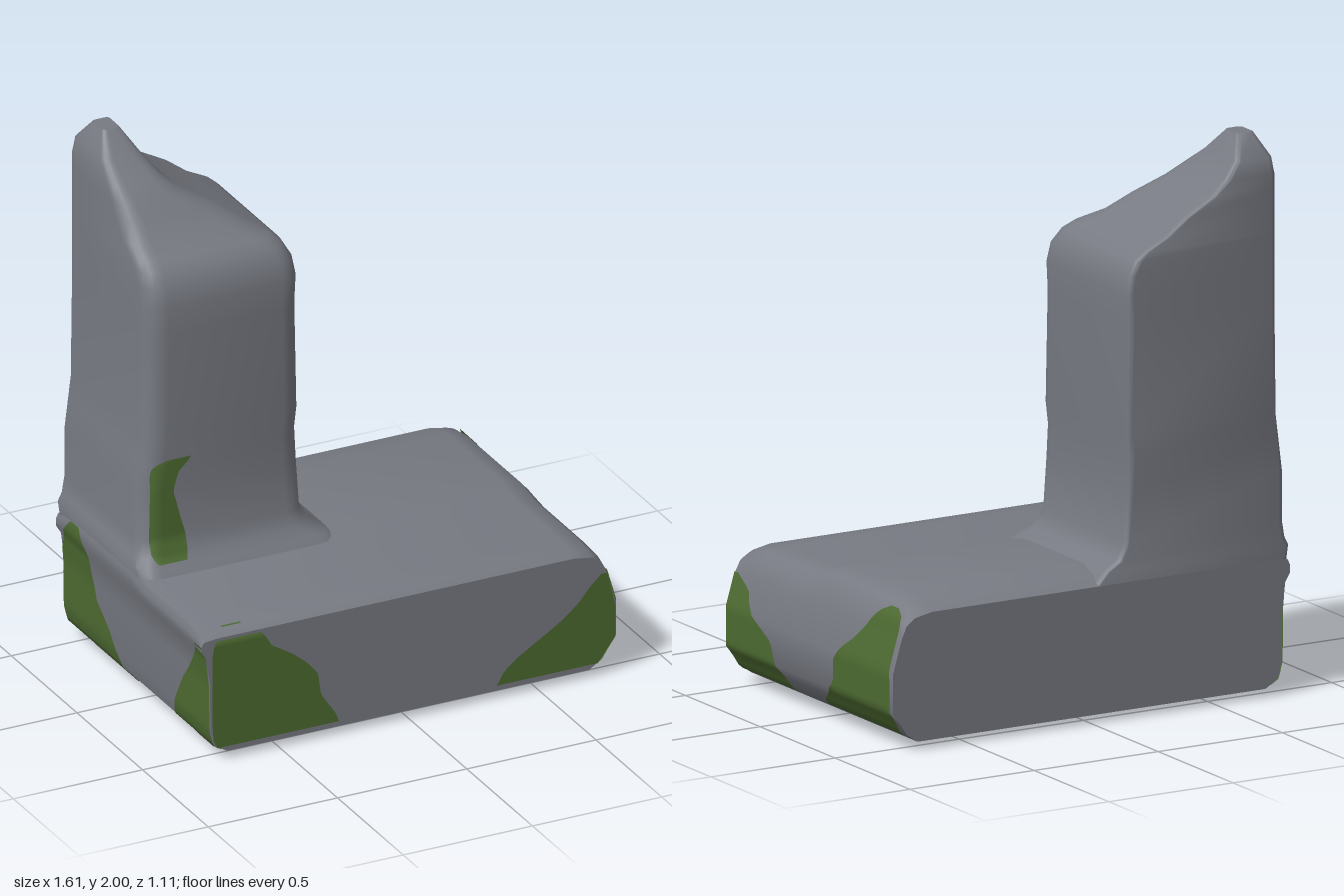
import * as THREE from 'three';
import { toCreasedNormals } from 'three/addons/utils/BufferGeometryUtils.js';

// Linear lookup of column c in rows sorted by their first value
function lookup(rows, t, c) {
  if (t <= rows[0][0]) return rows[0][c];
  for (let i = 1; i < rows.length; i++) {
    if (t <= rows[i][0]) {
      const a = rows[i - 1], b = rows[i];
      return a[c] + (b[c] - a[c]) * (t - a[0]) / (b[0] - a[0]);
    }
  }
  return rows[rows.length - 1][c];
}

// Skin rings that run counter-clockwise about the advancing axis, closing both ends
function loft(rings) {
  const n = rings[0].length, pos = rings.flat(2), idx = [];
  for (let k = 0; k < rings.length - 1; k++) {
    for (let i = 0; i < n; i++) {
      const a = k * n + i, b = k * n + (i + 1) % n;
      idx.push(a, b, b + n, a, b + n, a + n);
    }
  }
  for (const k of [0, rings.length - 1]) {
    const centre = [0, 1, 2].map(c => rings[k].reduce((s, p) => s + p[c], 0) / n);
    const ci = pos.length / 3;
    pos.push(...centre);
    for (let i = 0; i < n; i++) {
      const a = k * n + i, b = k * n + (i + 1) % n;
      idx.push(ci, k ? a : b, k ? b : a);
    }
  }
  const g = new THREE.BufferGeometry();
  g.setAttribute('position', new THREE.Float32BufferAttribute(pos, 3));
  g.setIndex(idx);
  return toCreasedNormals(g, 0.75);
}

// Thin painted skin: rows of [y, from, to] mapped onto a surface
function patch(rows, map) {
  const cols = 10, steps = 24, pos = [], idx = [];
  const y0 = rows[0][0], y1 = rows[rows.length - 1][0];
  for (let j = 0; j <= steps; j++) {
    const y = y0 + (y1 - y0) * j / steps;
    const a = lookup(rows, y, 1), b = lookup(rows, y, 2);
    for (let i = 0; i <= cols; i++) {
      pos.push(...map(a + (b - a) * i / cols, y));
      if (i < cols && j < steps) {
        const p = j * (cols + 1) + i, q = p + cols + 1;
        idx.push(p, p + 1, q + 1, p, q + 1, q);
      }
    }
  }
  const g = new THREE.BufferGeometry();
  g.setAttribute('position', new THREE.Float32BufferAttribute(pos, 3));
  g.setIndex(idx);
  g.computeVertexNormals();
  return g;
}

// Slab cross-section: right side upwards, left side upwards, as [y, x]
const RIGHT = [[0.03, 0.7], [0.06, 0.745], [0.1, 0.77], [0.14, 0.8], [0.28, 0.8],
  [0.4, 0.765], [0.47, 0.745], [0.51, 0.71], [0.53, 0.64]];
const LEFT = [[0.03, -0.7], [0.06, -0.75], [0.12, -0.765], [0.3, -0.768], [0.4, -0.78],
  [0.45, -0.8], [0.49, -0.8], [0.52, -0.79], [0.53, -0.74]];
// Slab top height along z
const TOP = [[-0.555, 0.485], [-0.5, 0.51], [-0.4, 0.53], [0, 0.53], [0.06, 0.515],
  [0.12, 0.502], [0.43, 0.5], [0.53, 0.487], [0.555, 0.47]];

// Tower sections: [y, x0, x1, z0, z1]
const B = -0.555;
const TOWER = [
  [0.46, -0.79, 0.0, B, 0.14], [0.53, -0.8, -0.06, B, 0.1], [0.56, -0.785, -0.11, B, 0.075],
  [0.62, -0.775, -0.14, B, 0.055], [0.8, -0.775, -0.15, B, 0.05], [0.92, -0.76, -0.155, B, 0.048],
  [1.0, -0.75, -0.148, B, 0.052], [1.4, -0.745, -0.155, B, 0.05], [1.5, -0.745, -0.15, B, 0.05],
  [1.57, -0.745, -0.16, B, 0.038], [1.62, -0.745, -0.185, B, 0.01], [1.65, -0.745, -0.22, B, -0.02],
  [1.69, -0.745, -0.3, B, -0.08], [1.75, -0.745, -0.38, B, -0.13], [1.81, -0.745, -0.49, B, -0.18],
  [1.86, -0.745, -0.545, B, -0.23], [1.92, -0.735, -0.585, -0.55, -0.31], [2.0, -0.7, -0.635, -0.48, -0.39],
];
const RADIUS = 0.075;

function towerRing([y, x0, x1, z0, z1]) {
  const small = Math.min(x1 - x0, z1 - z0);
  const rf = Math.min(RADIUS, small * 0.25), rb = Math.min(0.02, small * 0.2);
  const corners = [[x0 + rf, z1 - rf, rf], [x1 - rf, z1 - rf, rf], [x1 - rb, z0 + rb, rb], [x0 + rb, z0 + rb, rb]];
  const ring = [];
  corners.forEach(([cx, cz, r], c) => {
    for (let i = 0; i <= 5; i++) {
      const a = Math.PI + (c + i / 5) * Math.PI / 2;
      ring.push([cx + r * Math.cos(a), y, cz - r * Math.sin(a)]);
    }
  });
  return ring;
}

export function createModel() {
  const model = new THREE.Group();
  const stone = new THREE.MeshStandardMaterial({ color: 0x777a82 });
  const moss = new THREE.MeshStandardMaterial({ color: 0x4d6a31, side: THREE.DoubleSide });
  stone.name = 'stone grey';
  moss.name = 'moss green';
  const add = (name, geometry, material) => {
    const m = new THREE.Mesh(geometry, material);
    m.name = name;
    model.add(m);
    return m;
  };

  // Base slab, lofted from back to front
  const outline = [...RIGHT, ...LEFT.slice().reverse()];
  add('baseSlab', loft(TOP.map(([z, top]) => outline.map(([y, x]) =>
    [x, y > 0.4 ? 0.4 + (y - 0.4) * (top - 0.4) / 0.13 : y, z]))), stone);

  // Broken wall pillar rising to an off-centre peak
  add('pillar', loft(TOWER.map(towerRing)), stone);

  // Low lumps under the slab
  for (const [z, depth] of [[0.4, 0.14], [-0.28, 0.44]]) {
    const g = new THREE.CylinderGeometry(0.7071, 0.5, 0.05, 4).rotateY(Math.PI / 4);
    const lump = add('footLump', g.toNonIndexed(), stone);
    lump.geometry.computeVertexNormals();
    lump.scale.set(0.28, 1, depth);
    lump.position.set(-0.6, 0.025, z);
  }

  // Moss on the slab front
  const front = (x, y) => [x, y, 0.558 - Math.max(0, y - 0.465) * 1.8];
  add('frontLeftMoss', patch([[0.05, -0.74, -0.27], [0.08, -0.755, -0.28], [0.17, -0.76, -0.34],
    [0.25, -0.76, -0.35], [0.3, -0.76, -0.39], [0.35, -0.76, -0.45], [0.4, -0.76, -0.53],
    [0.45, -0.75, -0.56], [0.48, -0.73, -0.6], [0.492, -0.7, -0.63]], front), moss);
  add('frontRightMoss', patch([[0.05, 0.34, 0.73], [0.1, 0.37, 0.77], [0.14, 0.42, 0.8], [0.2, 0.52, 0.8],
    [0.25, 0.6, 0.8], [0.3, 0.66, 0.79], [0.35, 0.7, 0.778], [0.39, 0.745, 0.767]], front), moss);

  // Moss on the slab ends
  const rightEnd = (z, y) => [lookup(RIGHT, y, 1) + 0.004, y, z];
  const leftEnd = (z, y) => [lookup(LEFT, y, 1) - 0.004, y, z];
  add('endFrontMoss', patch([[0.05, 0.19, 0.555], [0.09, 0.2, 0.555], [0.15, 0.23, 0.555],
    [0.22, 0.26, 0.555], [0.25, 0.32, 0.555], [0.28, 0.38, 0.555], [0.32, 0.42, 0.555],
    [0.36, 0.44, 0.555], [0.4, 0.53, 0.555]], rightEnd), moss);
  add('endBackMoss', patch([[0.05, -0.51, -0.02], [0.08, -0.53, -0.04], [0.12, -0.54, -0.11],
    [0.17, -0.54, -0.16], [0.25, -0.54, -0.16], [0.3, -0.53, -0.2], [0.35, -0.53, -0.27],
    [0.4, -0.53, -0.32], [0.44, -0.53, -0.35], [0.48, -0.52, -0.4], [0.492, -0.48, -0.43]], rightEnd), moss);
  add('farEndBackMoss', patch([[0.04, -0.555, -0.12], [0.12, -0.555, -0.16], [0.18, -0.555, -0.21],
    [0.25, -0.555, -0.3], [0.35, -0.55, -0.33], [0.44, -0.5, -0.34], [0.5, -0.44, -0.38]], leftEnd), moss);
  add('farEndFrontMoss', patch([[0.04, 0.25, 0.555], [0.15, 0.3, 0.555], [0.25, 0.36, 0.555],
    [0.35, 0.44, 0.555], [0.45, 0.51, 0.555]], leftEnd), moss);

  // Moss climbing the pillar's front corner
  const pillarFront = (x, y) => {
    const d = Math.min(RADIUS, Math.max(0, lookup(TOWER, y, 1) + RADIUS - x));
    return [x, y, lookup(TOWER, y, 4) - RADIUS + Math.sqrt(RADIUS * RADIUS - d * d) + 0.005];
  };
  add('pillarMoss', patch([[0.545, -0.73, -0.62], [0.57, -0.745, -0.61], [0.63, -0.745, -0.61],
    [0.7, -0.742, -0.63], [0.8, -0.74, -0.655], [0.87, -0.738, -0.635], [0.9, -0.73, -0.6],
    [0.92, -0.68, -0.585]], pillarFront), moss);

  return model;
}
